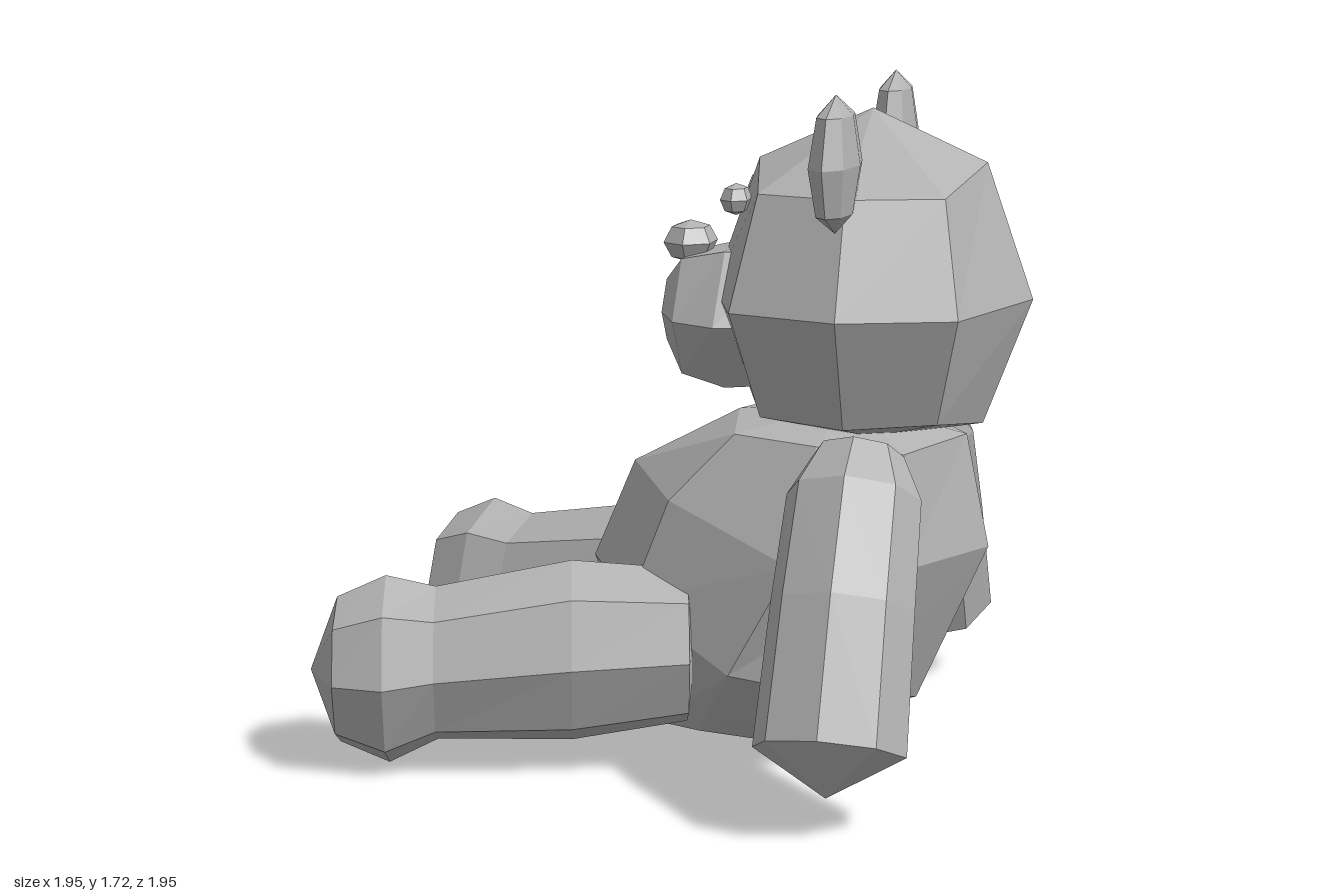
import * as THREE from 'three';

const V = (x, y, z) => new THREE.Vector3(x, y, z);

// Flat-faced copy of a geometry
function faceted(geo) {
  const flat = geo.index ? geo.toNonIndexed() : geo;
  flat.computeVertexNormals();
  return flat;
}

// Closed skin over a list of rings, capped by a start and an end point
function loft(rings, start, end) {
  const tris = [];
  const n = rings[0].length;
  for (let j = 0; j < n; j++) {
    const k = (j + 1) % n;
    tris.push([start, rings[0][k], rings[0][j]]);
    for (let i = 0; i < rings.length - 1; i++) {
      const a = rings[i][j], b = rings[i][k], c = rings[i + 1][k], d = rings[i + 1][j];
      tris.push([a, b, c], [a, c, d]);
    }
    const last = rings[rings.length - 1];
    tris.push([end, last[j], last[k]]);
  }
  // Turn the faces outward if the enclosed volume comes out negative
  const volume = tris.reduce((s, [a, b, c]) => s + a.dot(b.clone().cross(c)), 0);
  if (volume < 0) tris.forEach((t) => t.reverse());
  return faceted(new THREE.BufferGeometry().setFromPoints(tris.flat()));
}

// Ring of eight points from five on one side: back, back corner, side, front corner, front
function mirroredRing(half) {
  const pts = half.map((p) => V(...p));
  const other = [3, 2, 1].map((i) => V(-half[i][0], half[i][1], half[i][2]));
  return [...pts, ...other];
}

// Limb through stations [x, y, z, radius along ref, radius across], mirrored by side
function limb(stations, ref, side, sides, start, end) {
  const centres = stations.map(([x, y, z]) => V(x * side, y, z));
  const rings = stations.map((s, i) => {
    const t = centres[Math.min(i + 1, centres.length - 1)].clone()
      .sub(centres[Math.max(i - 1, 0)]);
    const across = t.cross(ref).normalize();
    return Array.from({ length: sides }, (_, j) => {
      const a = (j / sides) * Math.PI * 2;
      return centres[i].clone()
        .addScaledVector(ref, s[3] * Math.sin(a))
        .addScaledVector(across, s[4] * Math.cos(a));
    });
  });
  return loft(rings, V(start[0] * side, start[1], start[2]), V(end[0] * side, end[1], end[2]));
}

export function createModel() {
  const grey = new THREE.MeshStandardMaterial({ color: 0xb2b2b2 });
  grey.name = 'plush grey';

  const bear = new THREE.Group();
  bear.name = 'bear';
  const add = (name, geo) => {
    const mesh = new THREE.Mesh(geo, grey);
    mesh.name = name;
    bear.add(mesh);
    return mesh;
  };
  const blob = (name, x, y, z, rx, ry, rz, sides = 8) => {
    const geo = new THREE.SphereGeometry(1, sides, 4);
    geo.scale(rx, ry, rz);
    const mesh = add(name, faceted(geo));
    mesh.position.set(x, y, z);
    return mesh;
  };

  // Torso, leaning back so the belly sits forward
  add('body', loft([
    [[0, 0.83, -0.25], [0.25, 0.82, -0.13], [0.3, 0.84, 0.08], [0.24, 0.85, 0.3], [0, 0.87, 0.34]],
    [[0, 0.54, -0.31], [0.29, 0.54, -0.15], [0.42, 0.56, 0.12], [0.28, 0.68, 0.46], [0, 0.72, 0.62]],
    [[0, 0.13, -0.13], [0.3, 0.2, 0], [0.4, 0.27, 0.28], [0.29, 0.42, 0.56], [0, 0.46, 0.73]],
    [[0, 0.02, 0.23], [0.14, 0.03, 0.27], [0.2, 0.06, 0.4], [0.15, 0.06, 0.52], [0, 0.03, 0.57]],
  ].map(mirroredRing), V(0, 0.9, 0.05), V(0, 0, 0.36)));

  // Head, wider than deep
  add('head', loft([
    [[0, 1.52, -0.29], [0.3, 1.46, -0.23], [0.38, 1.46, 0], [0.3, 1.46, 0.23], [0, 1.52, 0.29]],
    [[0, 1.18, -0.41], [0.4, 1.18, -0.28], [0.5, 1.18, 0], [0.4, 1.18, 0.28], [0, 1.18, 0.41]],
    [[0, 0.86, -0.29], [0.31, 0.91, -0.22], [0.38, 0.9, 0], [0.31, 0.91, 0.22], [0, 0.86, 0.29]],
  ].map(mirroredRing), V(0, 1.65, 0), V(0, 0.81, 0)));

  // Muzzle and nose
  const up = V(0, 1, 0);
  add('snout', limb([
    [0, 1.12, 0.22, 0.19, 0.24],
    [0, 1.12, 0.35, 0.2, 0.27],
    [0, 1.12, 0.47, 0.17, 0.2],
    [0, 1.13, 0.52, 0.09, 0.11],
  ], up, 1, 6, [0, 1.12, 0.2], [0, 1.13, 0.53]));
  blob('nose', 0, 1.3, 0.47, 0.09, 0.055, 0.07, 6);

  // Paired parts
  const forward = V(0, 0, 1);
  for (const side of [1, -1]) {
    const label = side > 0 ? 'left' : 'right';
    blob(label + 'Eye', side * 0.16, 1.43, 0.315, 0.06, 0.04, 0.04, 6);
    blob(label + 'Ear', side * 0.425, 1.55, 0.015, 0.175, 0.165, 0.06);

    add(label + 'Arm', limb([
      [0.37, 0.84, -0.04, 0.11, 0.1],
      [0.44, 0.75, -0.04, 0.165, 0.15],
      [0.58, 0.51, -0.04, 0.175, 0.165],
      [0.73, 0.2, -0.04, 0.185, 0.17],
    ], forward, side, 8, [0.36, 0.87, -0.04], [0.77, 0.1, -0.04]));

    add(label + 'Leg', limb([
      [0.25, 0.3, 0.42, 0.2, 0.18],
      [0.33, 0.29, 0.7, 0.235, 0.2],
      [0.42, 0.26, 1.03, 0.2, 0.19],
      [0.455, 0.245, 1.15, 0.245, 0.205],
      [0.485, 0.245, 1.27, 0.19, 0.165],
    ], up, side, 8, [0.24, 0.3, 0.4], [0.5, 0.245, 1.34]));
  }

  // The bear sits turned away from the front
  bear.rotation.y = Math.PI + 0.464;
  bear.position.set(0.16, 0, 0.43);
  const model = new THREE.Group();
  model.name = 'seatedBear';
  model.add(bear);
  return model;
}
